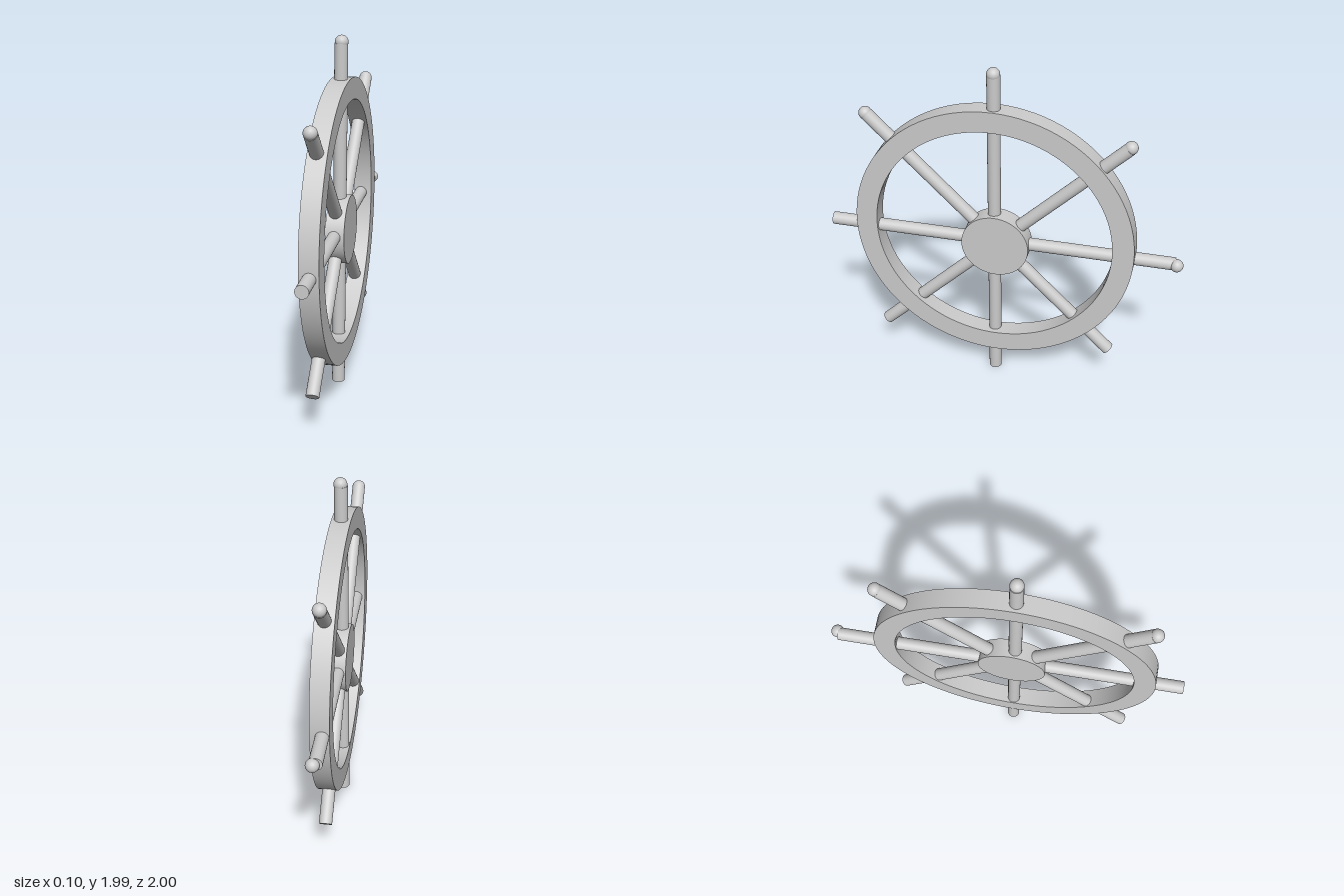
import * as THREE from 'three';

const material = new THREE.MeshStandardMaterial({ color: 0xcccccc });

function addMesh(parent, name, geometry, position = [0, 0, 0]) {
  const mesh = new THREE.Mesh(geometry, material);
  mesh.name = name;
  mesh.position.set(...position);
  parent.add(mesh);
  return mesh;
}

// Straight rod running right through the wheel, with a ball on its far end
function addSpoke(parent, name, from, to, ball) {
  const spoke = new THREE.Group();
  spoke.name = name;
  const a = new THREE.Vector3(...from), b = new THREE.Vector3(...to);
  const dir = b.clone().sub(a);
  const rod = addMesh(spoke, 'rod', new THREE.CylinderGeometry(0.036, 0.036, dir.length(), 32));
  rod.position.copy(a).add(b).multiplyScalar(0.5);
  rod.quaternion.setFromUnitVectors(new THREE.Vector3(0, 1, 0), dir.normalize());
  addMesh(spoke, 'handleBall', new THREE.SphereGeometry(0.036, 32, 20), ball);
  parent.add(spoke);
}

export function createModel() {
  const wheel = new THREE.Group();
  wheel.name = 'spokedWheel';

  // Flat rim with a square-edged section; sharp corners come from separate lathe bands
  const rim = new THREE.Group();
  rim.name = 'rim';
  rim.position.set(-0.003, 0.97, 0.053);
  rim.rotation.z = -Math.PI / 2;
  const corners = [[0.67, -0.052], [0.79, -0.052], [0.79, 0.052], [0.67, 0.052]];
  ['rightFace', 'outerBand', 'leftFace', 'innerBand'].forEach((name, i) => {
    const band = [corners[i], corners[(i + 1) % 4]].map(([r, h]) => new THREE.Vector2(r, h));
    addMesh(rim, name, new THREE.LatheGeometry(band, 96));
  });
  wheel.add(rim);

  // Solid hub disc
  const hub = addMesh(wheel, 'hub', new THREE.CylinderGeometry(0.19, 0.19, 0.104, 64), [-0.003, 0.92, 0.04]);
  hub.rotation.z = Math.PI / 2;

  // Four slightly skewed rods make the eight spokes
  addSpoke(wheel, 'verticalSpoke', [-0.018, 0, 0.053], [0, 1.95, 0.053], [0.002, 1.957, 0.053]);
  addSpoke(wheel, 'horizontalSpoke', [0, 0.93, 1], [-0.018, 0.93, -0.955], [-0.004, 0.93, -0.964]);
  addSpoke(wheel, 'risingBackSpoke', [-0.018, 0.233, 0.722], [0, 1.62, -0.667], [0, 1.627, -0.672]);
  addSpoke(wheel, 'risingFrontSpoke', [-0.012, 0.264, -0.622], [-0.006, 1.635, 0.757], [-0.006, 1.641, 0.763]);

  return wheel;
}
